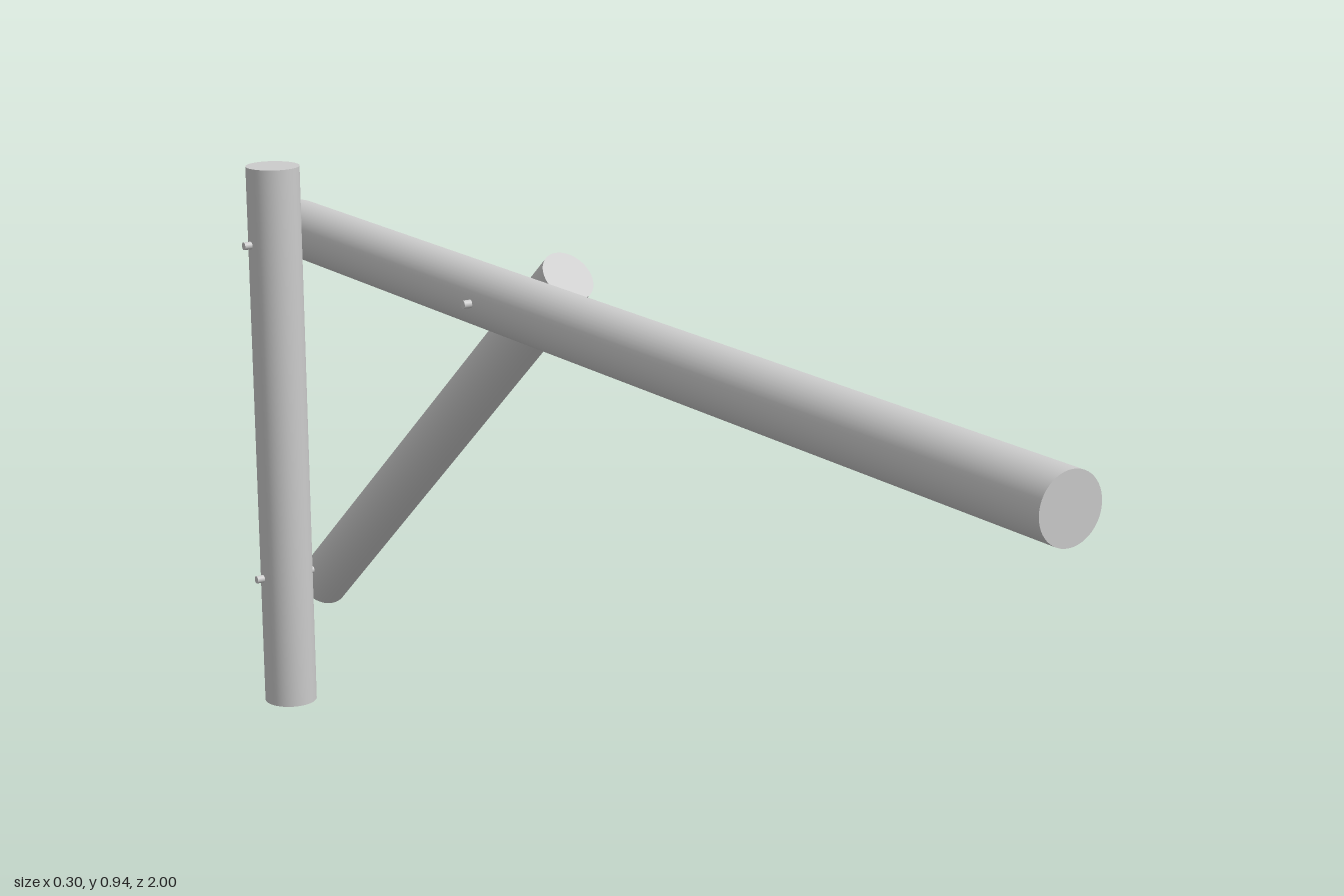
import * as THREE from 'three';

const material = new THREE.MeshStandardMaterial({ color: 0xcccccc });

// Round bar running between two end-centre points
function bar(name, from, to, radius, sides = 48) {
  const a = new THREE.Vector3(...from);
  const b = new THREE.Vector3(...to);
  const dir = b.clone().sub(a);
  const mesh = new THREE.Mesh(new THREE.CylinderGeometry(radius, radius, dir.length(), sides), material);
  mesh.name = name;
  mesh.position.copy(a).add(b).multiplyScalar(0.5);
  mesh.quaternion.setFromUnitVectors(new THREE.Vector3(0, 1, 0), dir.normalize());
  return mesh;
}

export function createModel() {
  const model = new THREE.Group();
  model.name = 'bracedPoleFrame';

  // Upright post, long horizontal beam and the leaning brace
  model.add(
    bar('post', [-0.092, 0, -0.91], [-0.092, 0.945, -0.91], 0.045),
    bar('beam', [0, 0.815, -1], [0, 0.815, 1], 0.049),
    bar('brace', [-0.003, 0.19, -0.948], [0.095, 0.851, -0.278], 0.044),
  );

  // Sideways pins through each joint: [name, x start, x end, y, z]
  const pins = [
    ['postBeamPin', -0.15, 0.056, 0.815, -0.911],
    ['beamBracePin', -0.062, 0.148, 0.815, -0.331],
    ['postBracePin', -0.15, 0.061, 0.229, -0.911],
  ];
  for (const [name, x0, x1, y, z] of pins) {
    model.add(bar(name, [x0, y, z], [x1, y, z], 0.0065, 20));
  }
  return model;
}
